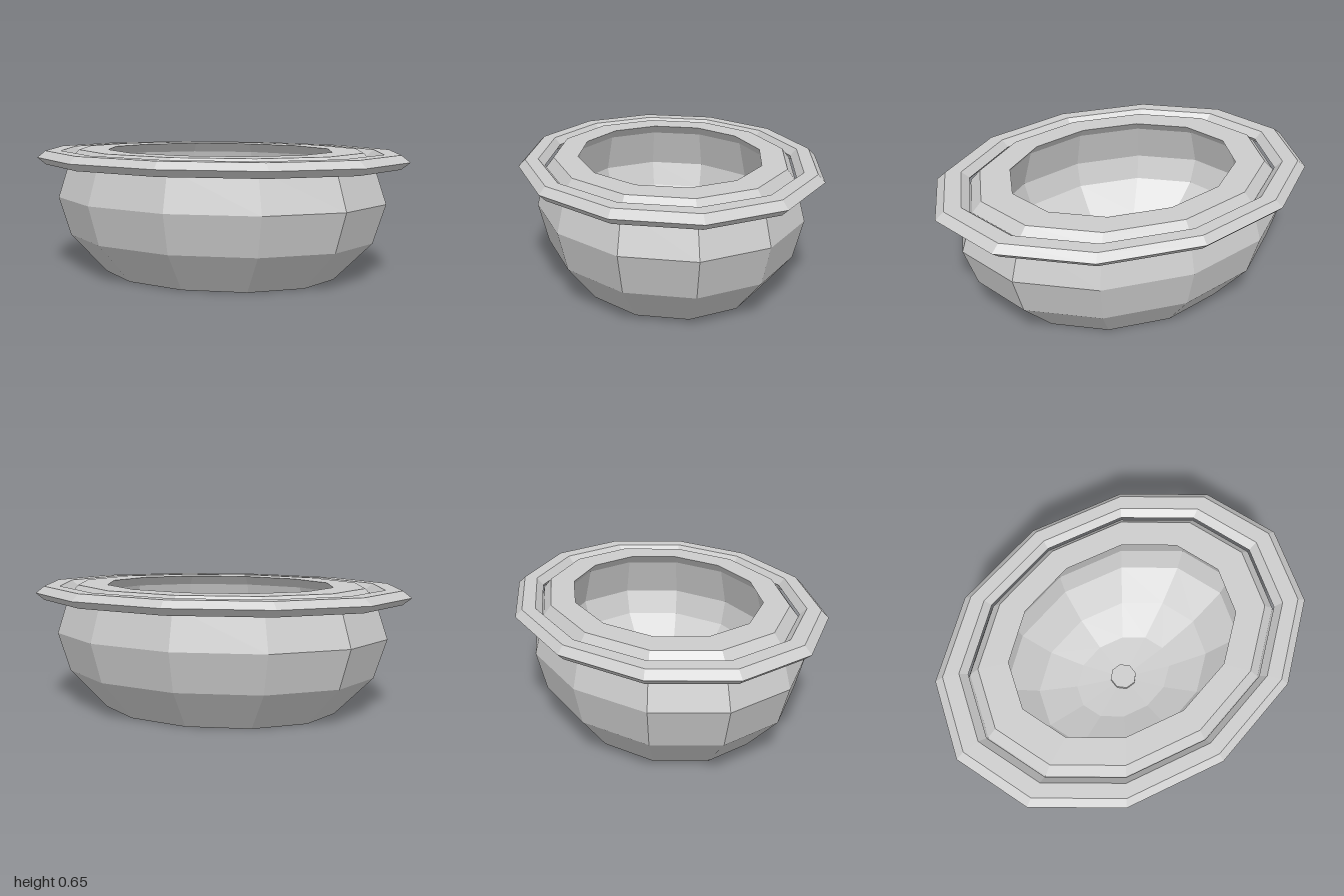
import * as THREE from 'three';

const SIDES = 12;
const DEPTH = 0.78; // oval: depth relative to width

export function createModel() {
  const group = new THREE.Group();
  const grey = new THREE.MeshStandardMaterial({ color: 0xcccccc, flatShading: true });
  grey.name = 'stoneGrey';

  // Faceted oval solid turned from [radius, height] points, outside first
  function ovalLathe(name, profile) {
    const points = profile.map(([r, y]) => new THREE.Vector2(r, y));
    const geometry = new THREE.LatheGeometry(points, SIDES);
    geometry.scale(1, 1, DEPTH);
    const mesh = new THREE.Mesh(geometry, grey);
    mesh.name = name;
    group.add(mesh);
  }

  // Basin: base, outer wall, chamfered lip, flat top, then the deep hollow
  // that widens under the lip and curves in to the floor
  ovalLathe('basin', [
    [0, 0], [0.63, 0], [0.825, 0.2], [0.888, 0.4], [0.82, 0.6],
    [0.77, 0.65], [0.61, 0.65], [0.66, 0.6], [0.725, 0.4],
    [0.68, 0.27], [0.5, 0.12], [0.28, 0.05], [0, 0.03],
  ]);

  // Six-sided band around the lip
  ovalLathe('rimRing', [
    [1, 0.61], [0.955, 0.645], [0.87, 0.645], [0.828, 0.61],
    [0.87, 0.574], [0.955, 0.574], [1, 0.61],
  ]);

  // Small round drain in the floor of the hollow
  const drain = new THREE.Mesh(new THREE.CylinderGeometry(0.072, 0.072, 0.04, 8), grey);
  drain.name = 'drain';
  drain.rotation.y = Math.PI / 8;
  drain.position.y = 0.035;
  group.add(drain);

  return group;
}
